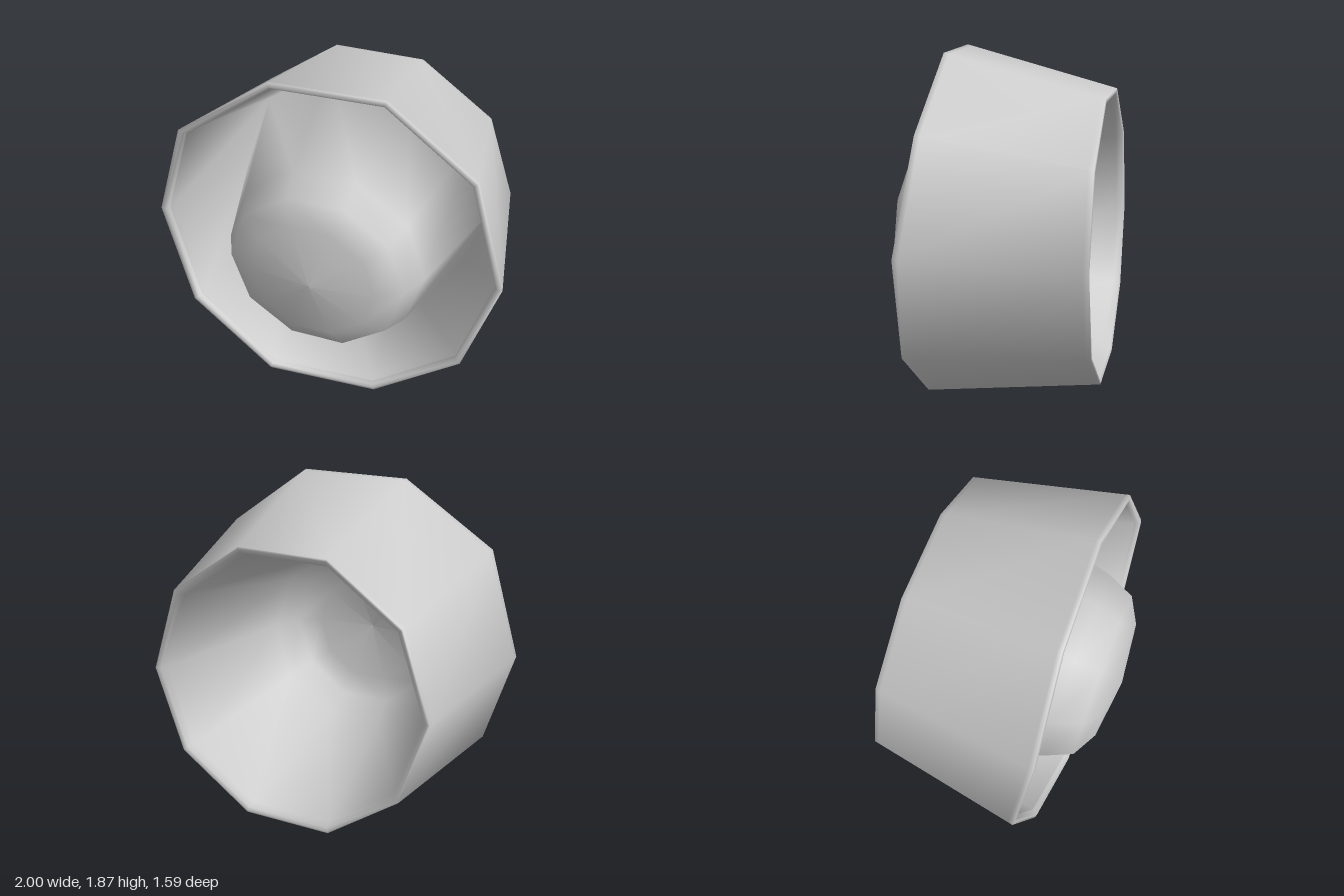
import * as THREE from 'three';

const SIDES = 10;
const center = new THREE.Vector3(0.26, 0.87, -0.455); // middle of the rear opening
const across = new THREE.Vector3(0.908, 0, 0.42);
const axis = new THREE.Vector3(-0.42, 0, 0.908);
const up = new THREE.Vector3(0, 1, 0);

// Regular ten-sided ring around the tilted axis
function ring(radius, depth) {
  return Array.from({ length: SIDES }, (_, i) => {
    const a = (i / SIDES) * Math.PI * 2;
    return center.clone()
      .addScaledVector(axis, depth)
      .addScaledVector(across, radius * Math.cos(a))
      .addScaledVector(up, radius * Math.sin(a));
  });
}

// Uneven front opening, counter-clockwise from the model's left
const frontRim = [
  [0.75, 0.94, 0.79], [0.61, 1.515, 0.65], [0.18, 1.87, 0.43], [-0.38, 1.87, 0.2], [-0.85, 1.52, 0.04],
  [-1, 0.94, -0.07], [-0.86, 0.37, 0.07], [-0.44, 0.005, 0.31], [0.14, 0.005, 0.54], [0.58, 0.375, 0.735],
].map((p) => new THREE.Vector3(...p));
const frontCenter = frontRim.reduce((s, p) => s.add(p), new THREE.Vector3()).divideScalar(SIDES);

const inset = (points, scale, shift) => points.map((p) =>
  frontCenter.clone().lerp(p, scale).addScaledVector(axis, shift));
const blend = (a, b, t) => a.map((p, i) => p.clone().lerp(b[i], t));

// Skin a list of rings; neighbouring rings share vertices for smooth shading
function loft(rings) {
  const positions = rings.flat().flatMap((p) => p.toArray());
  const index = [];
  for (let r = 0; r < rings.length - 1; r++) {
    for (let i = 0; i < SIDES; i++) {
      const j = (i + 1) % SIDES;
      const a = r * SIDES + i, b = r * SIDES + j;
      const c = a + SIDES, d = b + SIDES;
      index.push(a, b, c, b, d, c);
    }
  }
  const geometry = new THREE.BufferGeometry();
  geometry.setAttribute('position', new THREE.Float32BufferAttribute(positions, 3));
  geometry.setIndex(index);
  geometry.computeVertexNormals();
  return geometry;
}

export function createModel() {
  const group = new THREE.Group();
  group.name = 'domedCup';
  const material = new THREE.MeshStandardMaterial({ color: 0xcccccc, side: THREE.DoubleSide });
  const add = (name, rings) => {
    const mesh = new THREE.Mesh(loft(rings), material);
    mesh.name = name;
    group.add(mesh);
  };

  const rear = ring(0.816, 0);
  const valley = ring(0.755, 0.16);
  const innerLip = inset(frontRim, 0.957, -0.025);

  // Hollow on the rear side, its rim, the outer wall and the rounded front lip
  add('outerShell', [
    ring(0.005, 1.12), ring(0.33, 1.08), ring(0.455, 1.015), ring(0.53, 0.86),
    ring(0.765, 0.04), ring(0.785, 0.005), ring(0.805, -0.004), rear,
    blend(rear, frontRim, 0.03), blend(rear, frontRim, 0.97), frontRim,
    inset(frontRim, 0.98, 0.006), inset(frontRim, 0.965, -0.004), innerLip,
  ]);

  // Front trough rising into the central dome
  add('innerDome', [
    innerLip, blend(innerLip, valley, 0.05), valley,
    ring(0.555, 0.89), ring(0.485, 1.042), ring(0.35, 1.113), ring(0.005, 1.152),
  ]);
  return group;
}
